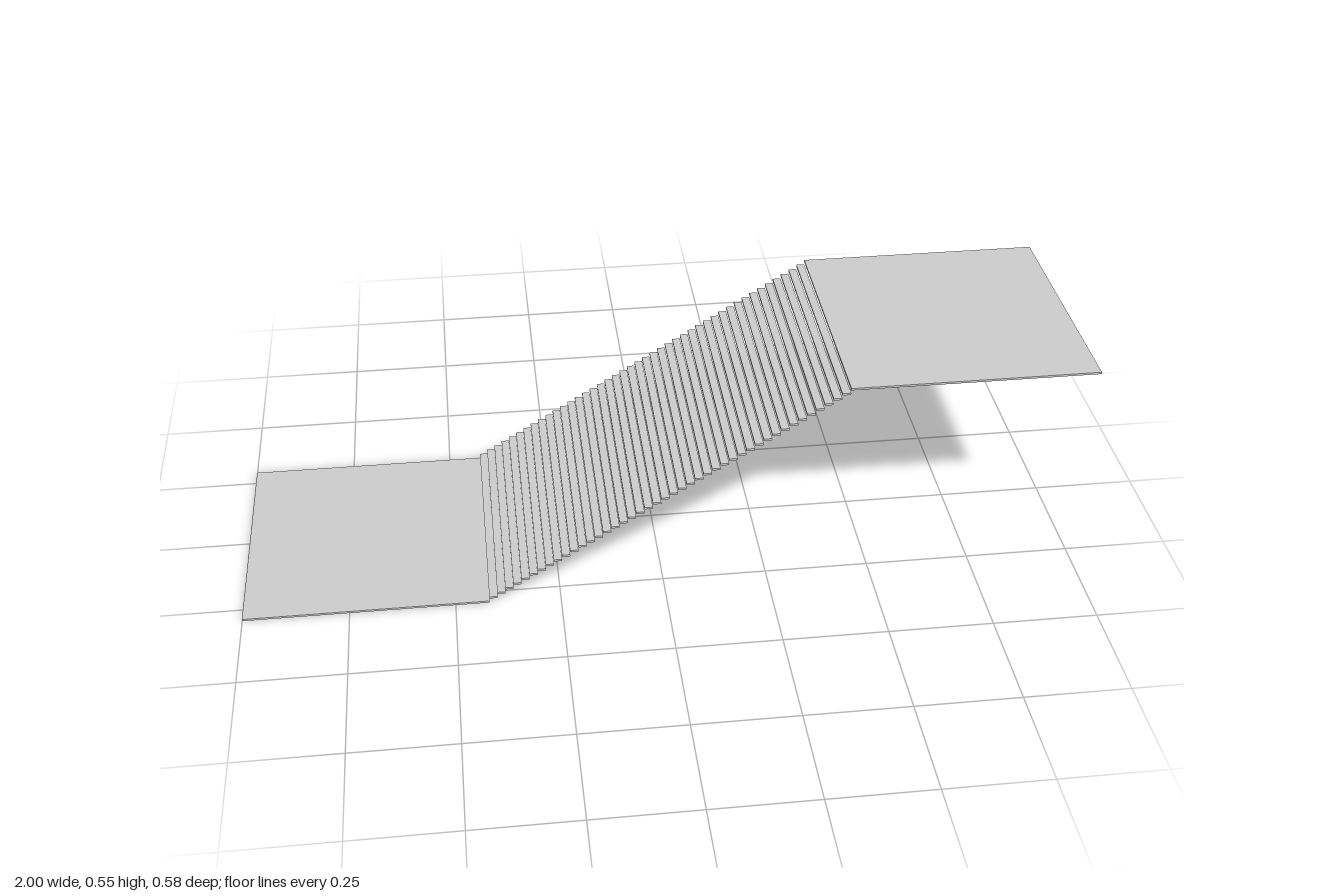
import * as THREE from 'three';

const DEPTH = 0.58;      // width of the walkway along z
const THICK = 0.005;     // plate thickness
const RISE = 0.01235;    // height between neighbouring plates
const STEPS = 43;        // treads between the two landings
const EDGE = 0.42;       // inner edge of each landing

export function createModel() {
  const group = new THREE.Group();
  group.name = 'staircase';
  const material = new THREE.MeshStandardMaterial({ color: 0xcccccc });

  // Flat plate spanning x0..x1 with its underside at y
  const addPlate = (name, x0, x1, y, parent) => {
    const plate = new THREE.Mesh(new THREE.BoxGeometry(x1 - x0, THICK, DEPTH), material);
    plate.name = name;
    plate.position.set((x0 + x1) / 2, y + THICK / 2, 0);
    parent.add(plate);
  };

  // Square landings at both ends
  addPlate('lowerLanding', -1, -EDGE, 0, group);
  addPlate('upperLanding', EDGE, 1, (STEPS + 1) * RISE, group);

  // Floating treads climbing towards +x
  const treads = new THREE.Group();
  treads.name = 'treads';
  const run = (2 * EDGE) / STEPS;
  for (let i = 0; i < STEPS; i++) {
    const x = -EDGE + i * run;
    addPlate(`tread${i + 1}`, x, x + run, (i + 1) * RISE, treads);
  }
  group.add(treads);
  return group;
}
